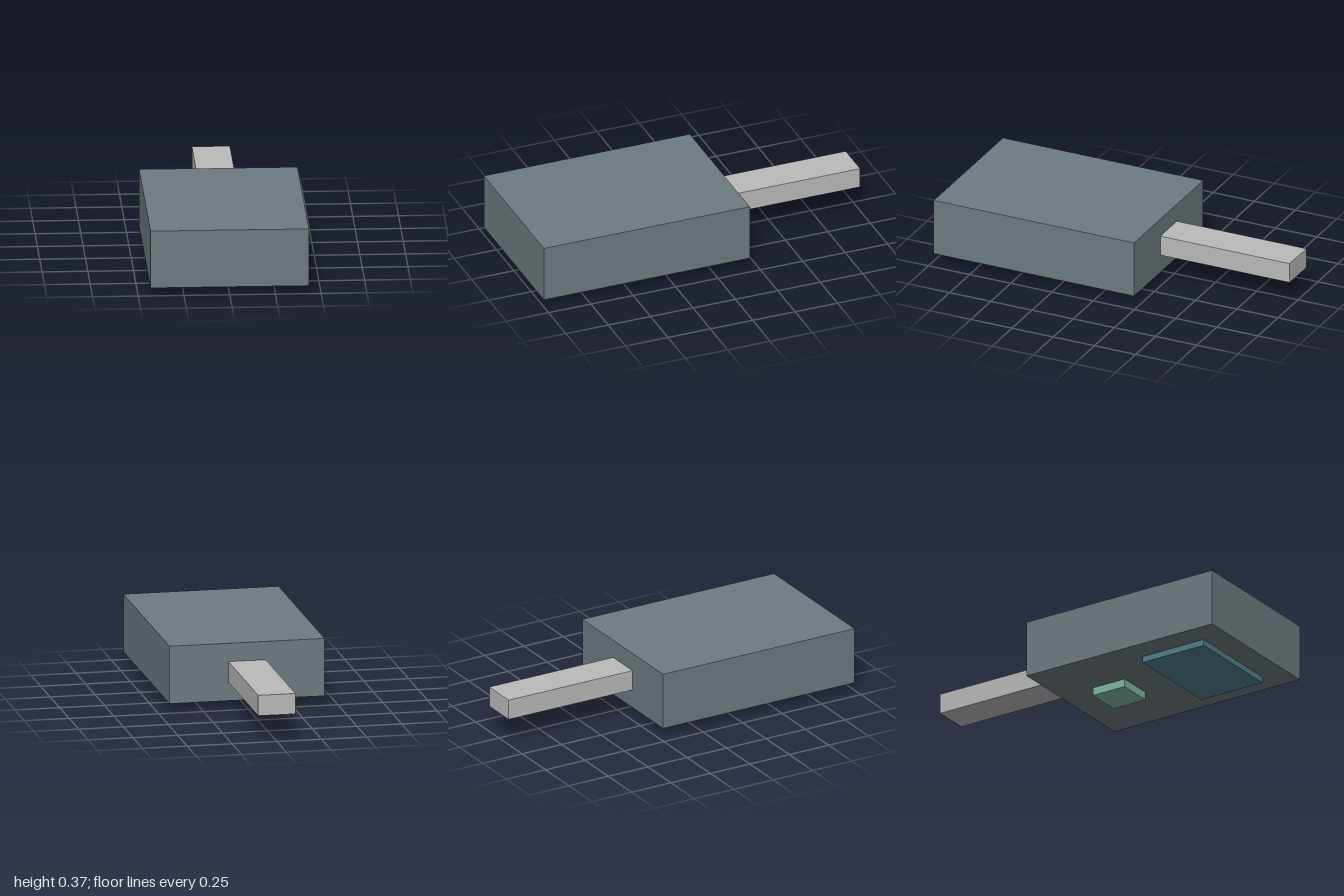
import * as THREE from 'three';

const material = (name, color) => {
  const m = new THREE.MeshStandardMaterial({ color });
  m.name = name;
  return m;
};

// Box given by its min and max corners
function block(name, mat, [x0, y0, z0], [x1, y1, z1]) {
  const mesh = new THREE.Mesh(new THREE.BoxGeometry(x1 - x0, y1 - y0, z1 - z0), mat);
  mesh.position.set((x0 + x1) / 2, (y0 + y1) / 2, (z0 + z1) / 2);
  mesh.name = name;
  return mesh;
}

export function createModel() {
  const group = new THREE.Group();
  group.name = 'sensorModule';
  const slate = material('slate grey', 0x6e7b80);
  const silver = material('light grey', 0xbababa);
  const teal = material('teal', 0x508088);
  const mint = material('mint green', 0x80b8a4);

  group.add(
    // Main housing
    block('housing', slate, [-0.433, 0.045, -0.215], [0.433, 0.368, 1]),
    // Plug bar at the back
    block('plug', silver, [-0.104, 0.15, -1], [0.104, 0.265, -0.215]),
    // Raised pads on the underside
    block('largePad', teal, [-0.29, 0.01, 0.45], [0.29, 0.045, 0.85]),
    block('smallPad', mint, [-0.104, 0, 0], [0.104, 0.045, 0.208]),
  );
  return group;
}
